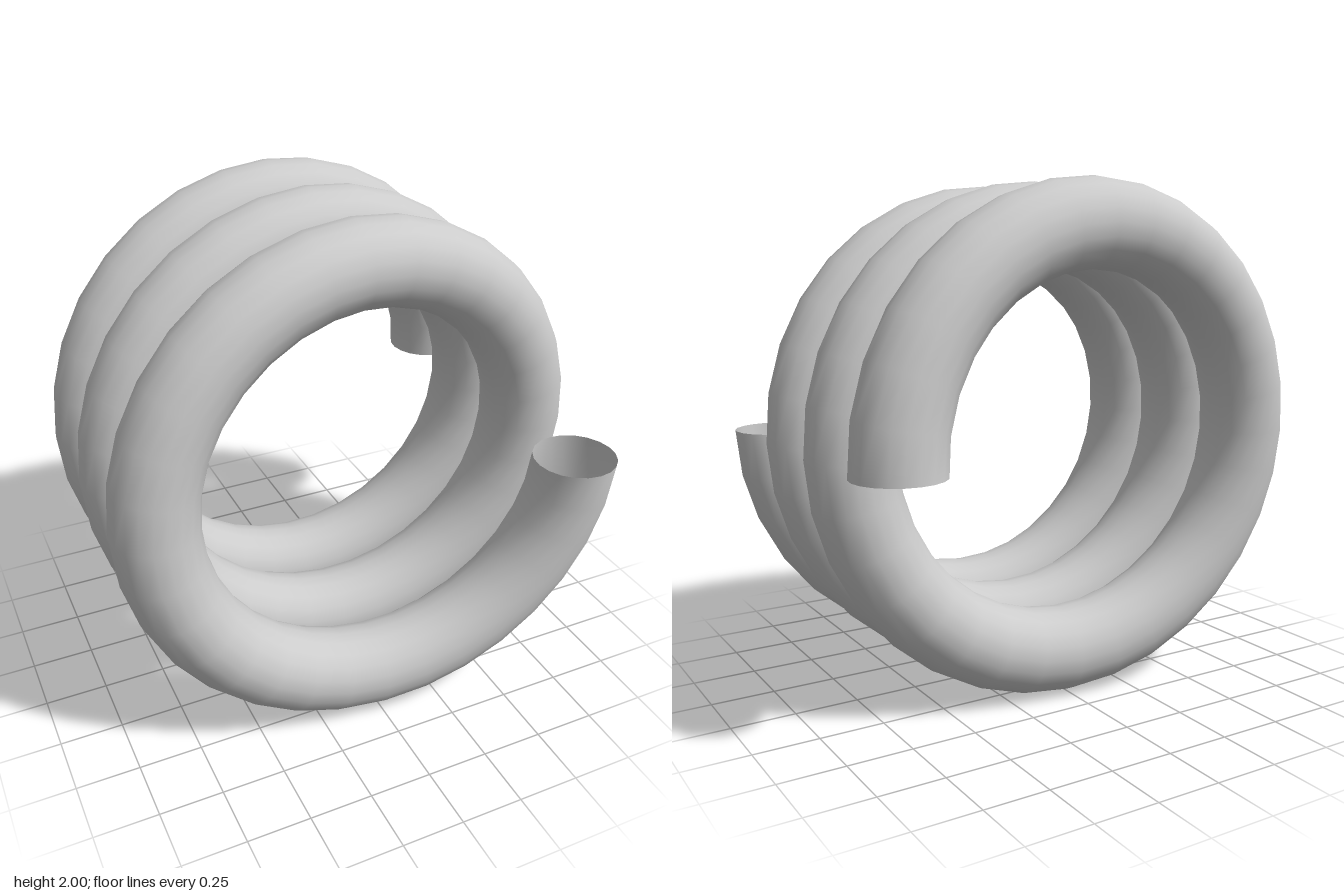
import * as THREE from 'three';
import { ParametricGeometry } from 'three/addons/geometries/ParametricGeometry.js';

const TURNS = 3;
const COIL_RADIUS = 0.833;
const TUBE_RADIUS = 0.167;
const LENGTH = 1.2; // distance between the centres of the two ends

export function createModel() {
  const group = new THREE.Group();
  group.name = 'coilSpring';

  // Round section kept in the radial plane, so both ends are cut level
  const helix = (u, v, target) => {
    const angle = -u * TURNS * Math.PI * 2;
    const around = v * Math.PI * 2;
    const radius = COIL_RADIUS + TUBE_RADIUS * Math.cos(around);
    target.set(
      radius * Math.cos(angle),
      1 + radius * Math.sin(angle),
      LENGTH * (0.5 - u) - TUBE_RADIUS * Math.sin(around)
    );
  };

  // Open-ended hollow tube wound from front to back
  const coil = new THREE.Mesh(
    new ParametricGeometry(helix, TURNS * 32, 20),
    new THREE.MeshStandardMaterial({ color: 0xcccccc, side: THREE.DoubleSide })
  );
  coil.name = 'coil';
  group.add(coil);

  return group;
}
